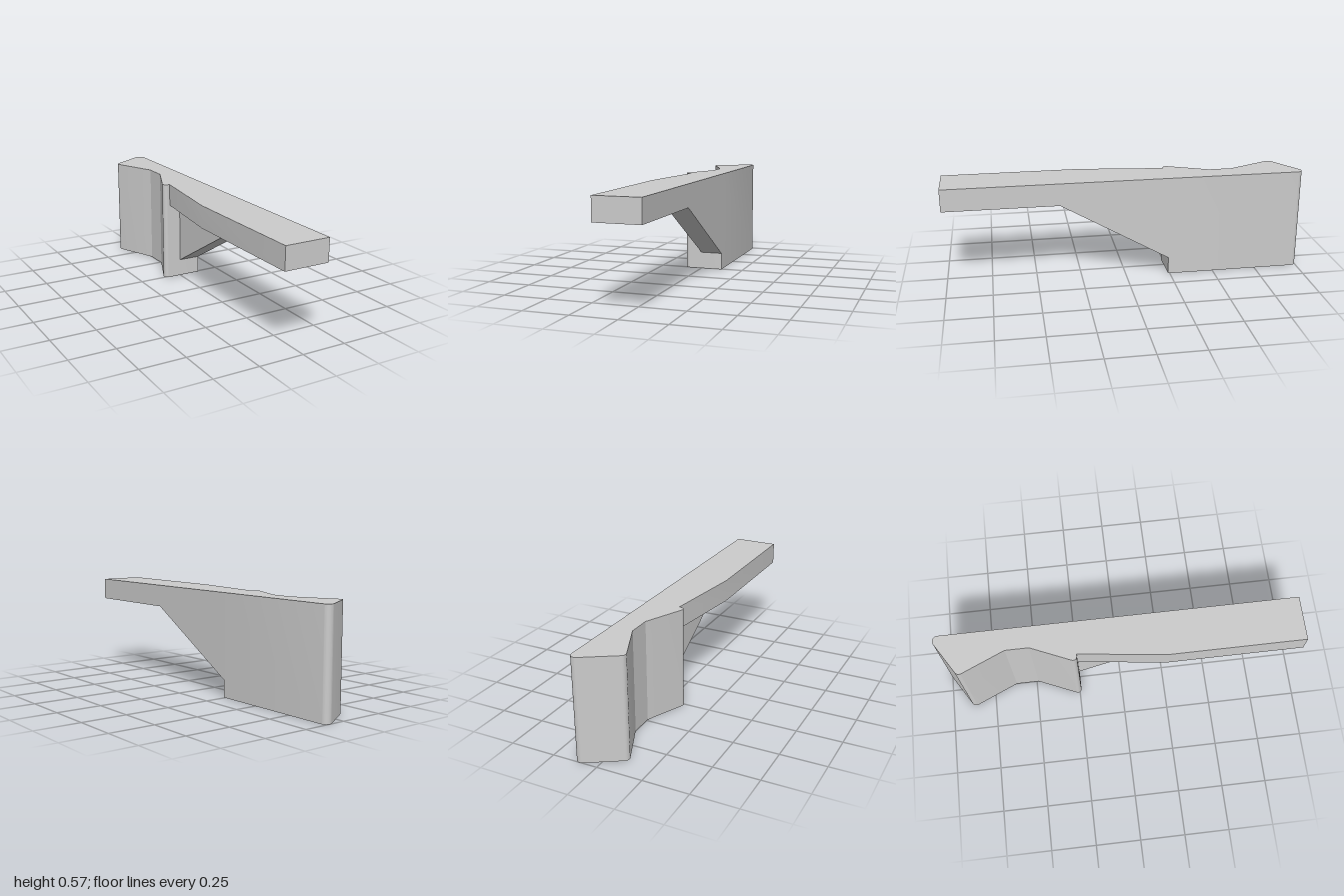
import * as THREE from 'three';
import { toCreasedNormals } from 'three/addons/utils/BufferGeometryUtils.js';

const TOP = 0.57, ARM_BOTTOM = 0.445, RIGHT_X = 0.125, STEP_Z = -0.24;

// Outline from corners [x, y, radius]; a radius rounds the corner with an arc.
function roundedShape(corners) {
  const points = [];
  corners.forEach(([x, y, r], i) => {
    const p = new THREE.Vector2(x, y);
    if (!r) return points.push(p);
    const n = corners.length;
    const a = new THREE.Vector2(...corners[(i + n - 1) % n]).sub(p).normalize();
    const b = new THREE.Vector2(...corners[(i + 1) % n]).sub(p).normalize();
    const half = Math.acos(a.dot(b)) / 2;
    const centre = p.clone().addScaledVector(a.clone().add(b).normalize(), r / Math.sin(half));
    const start = p.clone().addScaledVector(a, r / Math.tan(half)).sub(centre);
    const end = p.clone().addScaledVector(b, r / Math.tan(half)).sub(centre);
    const sweep = Math.atan2(start.cross(end), start.dot(end));
    for (let k = 0; k <= 12; k++) {
      points.push(start.clone().rotateAround(new THREE.Vector2(), sweep * k / 12).add(centre));
    }
  });
  return new THREE.Shape(points);
}

const extrude = (shape, depth) => new THREE.ExtrudeGeometry(shape, { depth, bevelEnabled: false });

// Plan outline given as [x, z, radius], raised from y0 to y1.
function planPart(outline, y0, y1) {
  const shape = roundedShape(outline.map(([x, z, r]) => [x, -z, r]));
  return extrude(shape, y1 - y0).rotateX(-Math.PI / 2).translate(0, y0, 0);
}

export function createModel() {
  const group = new THREE.Group();
  const material = new THREE.MeshStandardMaterial({ color: 0xcccccc });
  const add = (name, geometry) => {
    const mesh = new THREE.Mesh(toCreasedNormals(geometry, 0.35), material);
    mesh.name = name;
    group.add(mesh);
  };

  // Full-height block with a waisted, hooked side
  add('hookedBlock', planPart([
    [RIGHT_X, STEP_Z],
    [RIGHT_X, -1.026, 0.03],
    [-0.114, -0.878, 0.027],
    [0, -0.62],
    [0, -0.49],
    [-0.11, STEP_Z, 0.022],
  ], 0, TOP));

  // Long arm reaching forward at the top
  add('arm', planPart([
    [RIGHT_X, STEP_Z],
    [-0.065, STEP_Z],
    [-0.125, 0.24],
    [-0.125, 1],
    [RIGHT_X, 1],
  ], ARM_BOTTOM, TOP));

  // Sloped brace beneath the arm
  const brace = roundedShape([[STEP_Z, 0.097], [0.365, ARM_BOTTOM], [STEP_Z, ARM_BOTTOM]]);
  add('brace', extrude(brace, RIGHT_X).rotateY(-Math.PI / 2).translate(RIGHT_X, 0, 0));

  return group;
}
